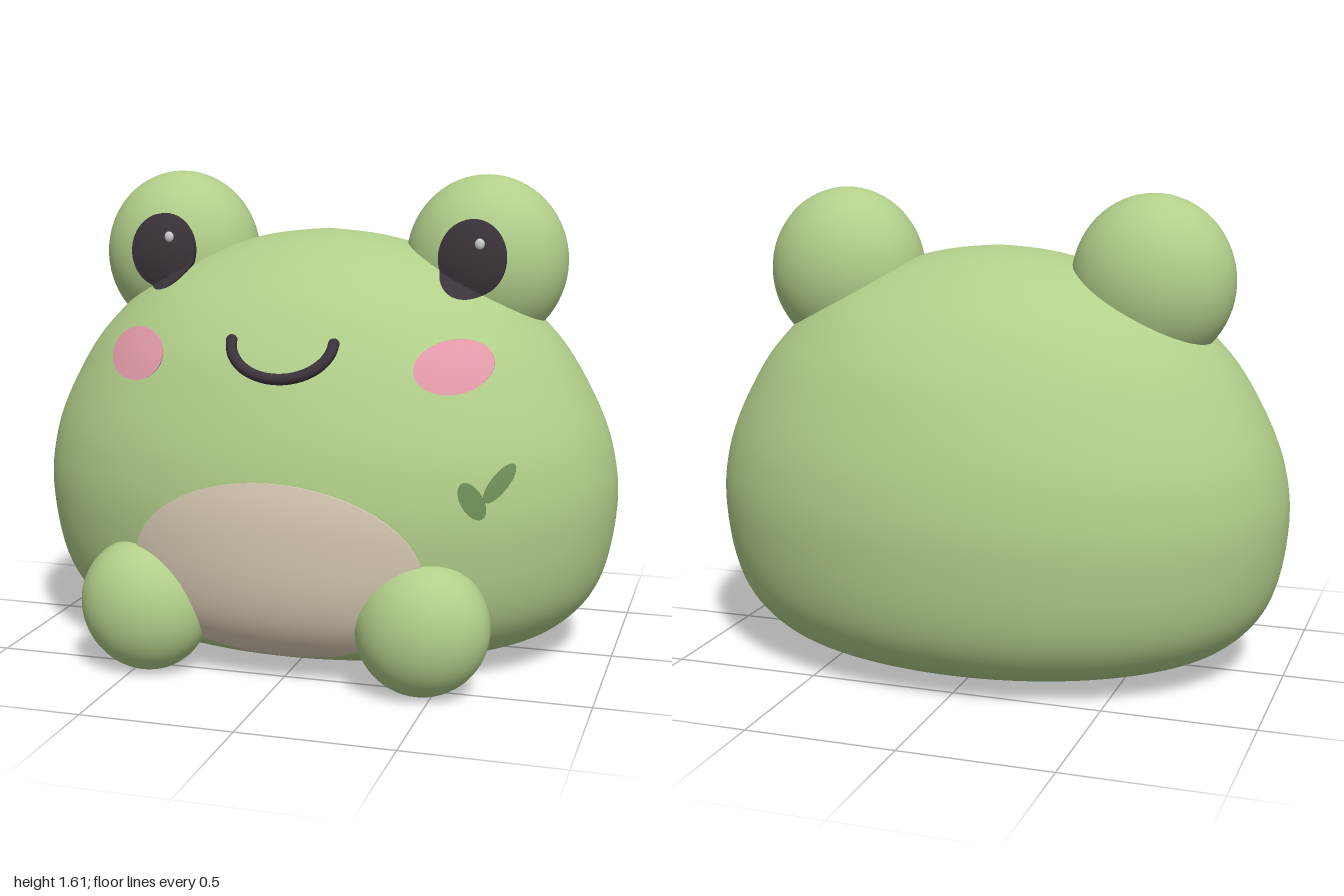
import * as THREE from 'three';
import { toCreasedNormals } from 'three/addons/utils/BufferGeometryUtils.js';

const mat = (color) => new THREE.MeshStandardMaterial({ color });
const GREEN = mat(0xb2cf8a), DARK = mat(0x3a333b), PINK = mat(0xe39aa8);
const CREAM = mat(0xdccdb6), LEAF = mat(0x6f9158), WHITE = mat(0xffffff);

// Body: a profile of radius against height, flattened in z
const DEPTH = 0.69, BODY_Z = -0.015;
const profile = new THREE.SplineCurve([
  [0.56, 0.03], [0.7, 0.055], [0.82, 0.105], [0.92, 0.205], [0.975, 0.34], [1, 0.53],
  [0.985, 0.68], [0.94, 0.82], [0.85, 0.99], [0.765, 1.1], [0.645, 1.21], [0.49, 1.3],
  [0.34, 1.36], [0.18, 1.4], [0, 1.42],
].map(([r, y]) => new THREE.Vector2(r, y))).getPoints(90);
profile[profile.length - 1].x = 0;

const EYE = { x: 0.54, y: 1.32, z: -0.05, rx: 0.272, ry: 0.285, rz: 0.222 };

function bodyRadius(y) {
  for (let i = 1; i < profile.length; i++) {
    const a = profile[i - 1], b = profile[i];
    if (y <= b.y) return THREE.MathUtils.mapLinear(Math.max(y, a.y), a.y, b.y, a.x, b.x);
  }
  return 0;
}

// Front z of the body or eye bump, whichever is further forward
function surfaceZ(x, y) {
  const b = bodyRadius(y) ** 2 - x * x;
  const e = 1 - ((Math.abs(x) - EYE.x) / EYE.rx) ** 2 - ((y - EYE.y) / EYE.ry) ** 2;
  return Math.max(
    b > 0 ? BODY_Z + DEPTH * Math.sqrt(b) : -1,
    e > 0 ? EYE.z + EYE.rz * Math.sqrt(e) : -1,
  );
}

// Thin oval patch draped over the surface, with a rim that sinks into it
function patch(name, material, x, y, rx, ry, lift, tilt = 0) {
  const rings = 24;
  const g = new THREE.RingGeometry(0.001, 1, 56, rings);
  const p = g.attributes.position;
  for (let i = 0; i < p.count; i++) {
    const r = Math.hypot(p.getX(i), p.getY(i));
    const grow = Math.min(1, r * rings / (rings - 1)) / r;
    const u = p.getX(i) * grow * rx, v = p.getY(i) * grow * ry;
    const px = x + u * Math.cos(tilt) - v * Math.sin(tilt);
    const py = y + u * Math.sin(tilt) + v * Math.cos(tilt);
    p.setXYZ(i, px, py, surfaceZ(px, py) + (r > 0.99 ? -0.01 : lift));
  }
  const mesh = new THREE.Mesh(toCreasedNormals(g, 0.7), material);
  mesh.name = name;
  return mesh;
}

function ellipsoid(name, material, pos, radii, tilt = 0) {
  const mesh = new THREE.Mesh(new THREE.SphereGeometry(1, 48, 32), material);
  mesh.name = name;
  mesh.position.set(...pos);
  mesh.scale.set(...radii);
  mesh.rotation.z = tilt;
  return mesh;
}

export function createModel() {
  const model = new THREE.Group();
  model.name = 'frog';

  // Body with a flat base
  const body = new THREE.Mesh(
    new THREE.LatheGeometry([new THREE.Vector2(0, 0.03), ...profile], 96), GREEN);
  body.name = 'body';
  body.scale.z = DEPTH;
  body.position.z = BODY_Z;
  model.add(body);

  model.add(patch('belly', CREAM, 0, 0.375, 0.48, 0.305, 0.006));

  // Paired parts
  for (const [side, s] of [['left', 1], ['right', -1]]) {
    model.add(
      ellipsoid(side + 'EyeBump', GREEN, [s * EYE.x, EYE.y, EYE.z], [EYE.rx, EYE.ry, EYE.rz]),
      patch(side + 'Pupil', DARK, s * 0.532, 1.345, 0.112, 0.125, 0.02),
      patch(side + 'Cheek', PINK, s * 0.53, 1.03, 0.114, 0.08, 0.007),
      ellipsoid(side + 'Foot', GREEN, [s * 0.466, 0.218, 0.54], [0.214, 0.222, 0.17], s * -0.5),
    );
    // Highlights sit on the same side of both pupils
    const hx = s * 0.532 + 0.028, hy = 1.393;
    model.add(ellipsoid(side + 'EyeHighlight', WHITE,
      [hx, hy, surfaceZ(hx, hy) + 0.02], [0.016, 0.018, 0.01]));
  }

  // Smiling mouth with rounded ends
  const points = [];
  for (let i = 0; i <= 16; i++) {
    const a = Math.PI * (1 + i / 16);
    const x = 0.168 * Math.cos(a), y = 1.1 + 0.108 * Math.sin(a);
    points.push(new THREE.Vector3(x, y, surfaceZ(x, y) + 0.006));
  }
  const mouth = new THREE.Group();
  mouth.name = 'mouth';
  mouth.add(new THREE.Mesh(
    new THREE.TubeGeometry(new THREE.CatmullRomCurve3(points), 64, 0.018, 12), DARK));
  for (const end of [points[0], points[16]])
    mouth.add(ellipsoid('mouthEnd', DARK, end.toArray(), [0.018, 0.018, 0.018]));
  model.add(mouth);

  // Small pair of leaf marks on the left flank
  model.add(
    patch('lowerLeafMark', LEAF, 0.615, 0.632, 0.031, 0.064, 0.006, 0.5),
    patch('upperLeafMark', LEAF, 0.69, 0.682, 0.027, 0.067, 0.006, -0.6),
  );
  return model;
}
